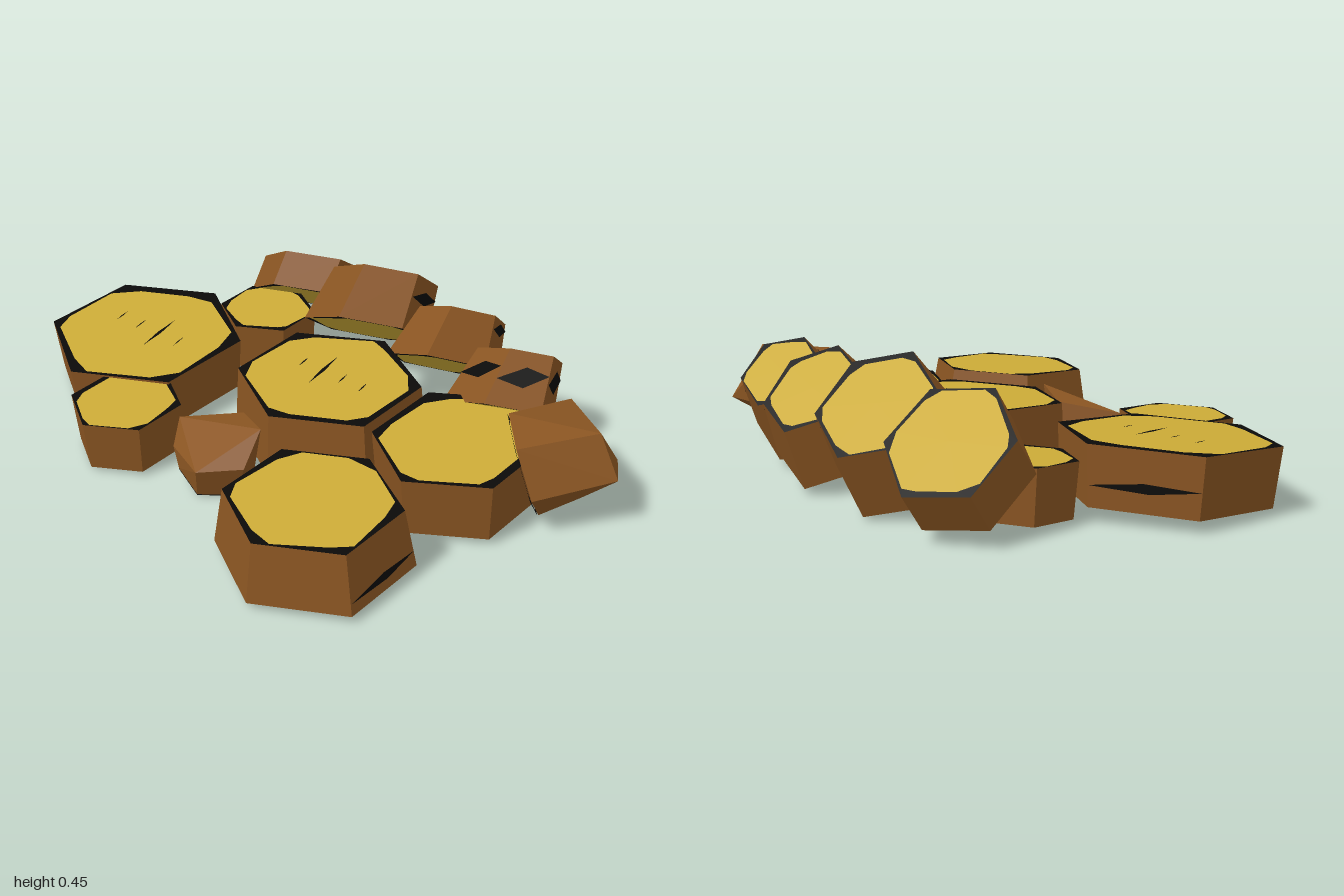
import * as THREE from 'three';
import { ConvexGeometry } from 'three/addons/geometries/ConvexGeometry.js';

const mat = (name, color, side = THREE.FrontSide) => {
  const m = new THREE.MeshStandardMaterial({ color, side, flatShading: true });
  m.name = name;
  return m;
};
const vec = (x, y, z) => new THREE.Vector3(x, y, z);

export function createModel() {
  const bark = mat('bark brown', 0x8a5522);
  const wood = mat('cut wood yellow', 0xcdac37);
  const char = mat('charred black', 0x0b0a09, THREE.DoubleSide);
  const model = new THREE.Group();
  model.name = 'logSlices';

  let seed = 7;
  const rand = () => (seed = (seed * 16807) % 2147483647) / 2147483647;

  const mesh = (name, tris, material) => {
    const g = new THREE.BufferGeometry().setFromPoints(tris);
    g.computeVertexNormals();
    const m = new THREE.Mesh(g, material);
    m.name = name;
    return m;
  };
  const newGroup = (name) => {
    const g = new THREE.Group();
    g.name = name;
    model.add(g);
    return g;
  };
  const middle = (loop) => loop.reduce((a, p) => a.add(p), vec(0, 0, 0)).divideScalar(loop.length);
  // Six corners, a sixth of a turn apart
  const hexagon = (corner, turn = 0) => Array.from({ length: 6 }, (_, i) => corner((i * 60 + turn) * Math.PI / 180));

  // Cut face: yellow centre with clipped corners inside an uneven charred rim
  function cutFace(group, name, loop, flip) {
    const n = loop.length, c = middle(loop), inner = [], face = [], rim = [];
    const add = (list, a, b, d) => (flip ? list.push(a, b, d) : list.push(a, d, b));
    for (let i = 0; i < n; i++) {
      for (const j of [(i + n - 1) % n, (i + 1) % n]) {
        const k = 0.87 + 0.11 * rand();
        inner.push(loop[i].clone().lerp(loop[j], 0.1 + 0.14 * rand()).sub(c).multiplyScalar(k).add(c));
      }
    }
    for (let i = 0; i < n; i++) {
      const a = inner[2 * i], b = inner[2 * i + 1], d = inner[(2 * i + 2) % (2 * n)];
      add(face, c, a, b);
      add(face, c, b, d);
      add(rim, loop[i], b, a);
      add(rim, loop[i], loop[(i + 1) % n], d);
      add(rim, loop[i], d, b);
    }
    group.add(mesh(name, face, wood), mesh(name + 'Rim', rim, char));
  }

  // Bark walls between two loops
  function barkSides(group, T, B) {
    const tris = [];
    T.forEach((a, i) => {
      const j = (i + 1) % T.length;
      tris.push(a, T[j], B[j], a, B[j], B[i]);
    });
    group.add(mesh('bark', tris, bark));
  }

  // Thin charred scar across bark wall i, at depth v below the upper edge
  function scar(group, T, B, [i, v, half]) {
    const j = (i + 1) % T.length;
    const out = T[j].clone().sub(T[i]).cross(B[i].clone().sub(T[i])).normalize().multiplyScalar(-0.004);
    if (out.dot(T[i].clone().sub(middle(T))) < 0) out.negate();
    const at = (u, w) => T[i].clone().lerp(T[j], u).lerp(B[i].clone().lerp(B[j], u), w).add(out);
    const a = at(0, v - half / 2), b = at(0.5, v - half), c = at(1, v + half / 2), d = at(0.45, v + half);
    group.add(mesh('barkScar', [a, b, c, a, c, d], char));
  }

  // Slice with its upper face centred on x, y, z, half sizes rx and rz, tilted by slopes sx and sz;
  // the lower face is dropped, slid along the z slope and scaled by flare
  function slice(name, [x, y, z], [rx, rz], turn, [sx, sz], drop, flare, scars = []) {
    const group = newGroup(name);
    const T = hexagon((t) => {
      const dx = rx * Math.sin(t), dz = -rz * Math.cos(t);
      return vec(x + dx, y + sx * dx + sz * dz, z + dz);
    }, turn);
    const c = middle(T), shift = vec(0, -1, sz).multiplyScalar(drop);
    const B = T.map((p) => p.clone().sub(c).multiplyScalar(flare).add(c).add(shift));
    barkSides(group, T, B);
    cutFace(group, 'upperCut', T, false);
    cutFace(group, 'lowerCut', B, true);
    scars.forEach((s) => scar(group, T, B, s));
    return group;
  }

  // Row of drying cracks across an upper face, one of them long
  function cracks(group, [x, y, z], rx, slope, long) {
    for (let i = 0; i < 4; i++) {
      const l = i === long ? 0.09 : 0.03, w = i === long ? 0.007 : 0.003;
      const cx = x + rx * 0.27 * (i - 1.5), cz = z - 0.02;
      const at = (dx, dz) => vec(cx + dx, y + slope * (cz + dz - z) + 0.002, cz + dz);
      const a = at(-l / 6, -l), b = at(w, 0), d = at(l / 6, l), e = at(-w, 0);
      group.add(mesh('crack', [a, d, b, a, e, d], char));
    }
  }

  // Rough log end: one cut hexagon facing along axis, the rest a bark hull through the given points
  function logEnd(name, centre, axis, radius, points) {
    const group = newGroup(name);
    const n = axis.normalize();
    const q = new THREE.Quaternion().setFromUnitVectors(vec(0, 0, 1), n);
    const ring = hexagon((t) => vec(-Math.cos(t), Math.sin(t), 0).multiplyScalar(radius).applyQuaternion(q).add(centre));
    const hull = new THREE.Mesh(new ConvexGeometry([...ring, ...points]), bark);
    hull.name = 'bark';
    group.add(hull);
    cutFace(group, 'cut', ring.map((p) => p.clone().addScaledVector(n, 0.004)), false);
  }

  // Slices lying flat
  const flat = [0, -0.04], leftAt = [-0.7, 0.225, 0.1], middleAt = [0.01, 0.255, -0.045];
  const left = slice('largeLeftSlice', leftAt, [0.345, 0.33], 2, [0, -0.06], 0.185, 0.95, [[5, 0.6, 0.08]]);
  cracks(left, leftAt, 0.345, -0.06, 2);
  const centre = slice('middleSlice', middleAt, [0.31, 0.288], 0, flat, 0.22, 1.06);
  cracks(centre, middleAt, 0.31, -0.04, 1);
  slice('rightSlice', [0.53, 0.24, -0.055], [0.265, 0.285], 0, flat, 0.2, 0.95, [[0, 0.6, 0.08]]);
  slice('frontRightSlice', [0.405, 0.24, 0.483], [0.275, 0.258], 0, flat, 0.195, 1.13, [[1, 0.75, 0.07]]);
  slice('frontSmallSlice', [-0.45, 0.2, 0.425], [0.185, 0.185], 0, flat, 0.17, 0.93);
  slice('backSmallSlice', [-0.53, 0.2, -0.335], [0.175, 0.165], 0, flat, 0.17, 0.94);

  // Slices leaning at the back, facing up, back and left
  const lean = [0.3, 0.67];
  slice('leaningSliceFarLeft', [-0.52, 0.28, -0.595], [0.2, 0.18], -3, lean, 0.105, 1);
  slice('leaningSliceLeft', [-0.2, 0.337, -0.597], [0.19, 0.175], -12, lean, 0.165, 1.17, [[1, 0.35, 0.12]]);
  slice('leaningSliceMiddle', [0.16, 0.325, -0.565], [0.15, 0.15], -20, lean, 0.15, 1.3, [[1, 0.2, 0.12]]);
  slice('leaningSliceRight', [0.46, 0.325, -0.47], [0.15, 0.125], -15, lean, 0.16, 1.3,
    [[1, 0.4, 0.2], [2, 0.45, 0.18], [3, 0.4, 0.15]]);

  // Log end at the right, its cut turned forward, inward and down
  logEnd('rightLogEnd', vec(0.72, 0.19, -0.13), vec(-0.72, -0.32, 0.62), 0.165, [
    vec(0.71, 0.3, -0.39), vec(0.91, 0.33, -0.24), vec(0.99, 0.2, -0.23),
    vec(0.9, 0.16, -0.38), vec(0.74, 0.16, -0.38), vec(0.86, 0.07, -0.24)]);

  // Small chunk at the front, its cut turned down
  logEnd('barkChunk', vec(-0.11, 0.05, 0.36), vec(-0.25, -0.95, -0.15), 0.12, [
    vec(-0.27, 0.18, 0.36), vec(-0.1, 0.21, 0.24), vec(0.04, 0.24, 0.31),
    vec(0.05, 0.14, 0.4), vec(-0.06, 0.13, 0.5), vec(-0.23, 0.12, 0.43)]);

  return model;
}
